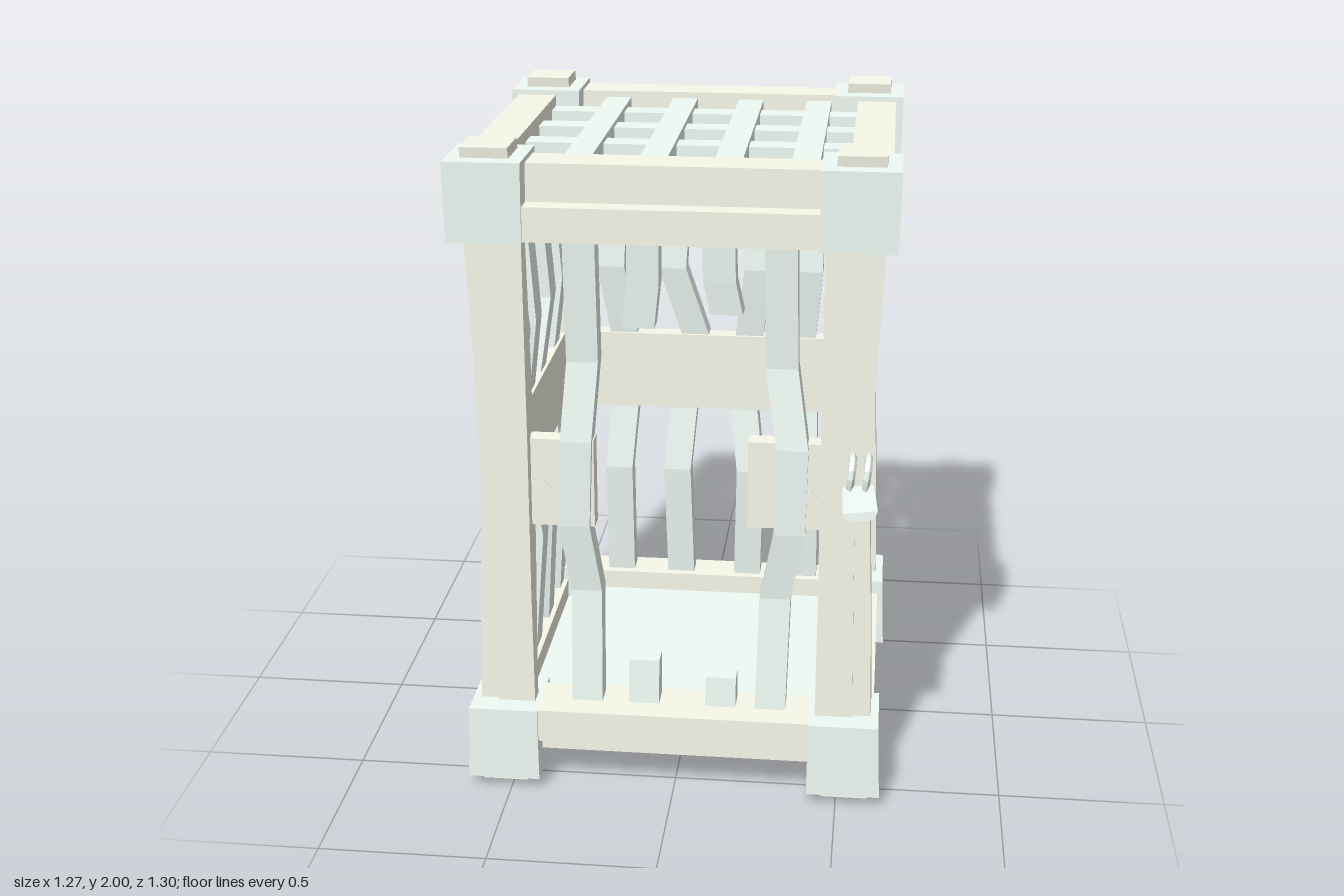
import * as THREE from 'three';

const wood = new THREE.MeshStandardMaterial({ color: 0xf8f8ea, flatShading: true });
const metal = new THREE.MeshStandardMaterial({ color: 0xf0fbf5, flatShading: true });

// Beam swept upward through rectangular sections [x, y, z, width, depth]
function strut(sections, material, name) {
  const pos = [], idx = [];
  for (const [x, y, z, w, d] of sections) {
    for (const [a, b] of [[-1, -1], [1, -1], [1, 1], [-1, 1]]) pos.push(x + a * w / 2, y, z + b * d / 2);
  }
  for (let i = 0; i < sections.length - 1; i++) {
    for (let j = 0; j < 4; j++) {
      const a = i * 4 + j, b = i * 4 + (j + 1) % 4;
      idx.push(a, b + 4, b, a, a + 4, b + 4);
    }
  }
  const t = (sections.length - 1) * 4;
  idx.push(0, 1, 2, 0, 2, 3, t, t + 2, t + 1, t, t + 3, t + 2);
  const indexed = new THREE.BufferGeometry();
  indexed.setAttribute('position', new THREE.Float32BufferAttribute(pos, 3));
  indexed.setIndex(idx);
  const geo = indexed.toNonIndexed();
  geo.computeVertexNormals();
  const mesh = new THREE.Mesh(geo, material);
  mesh.name = name;
  return mesh;
}

// Box given by its limits
function block(x0, x1, y0, y1, z0, z1, material, name) {
  const mesh = new THREE.Mesh(new THREE.BoxGeometry(x1 - x0, y1 - y0, z1 - z0), material);
  mesh.position.set((x0 + x1) / 2, (y0 + y1) / 2, (z0 + z1) / 2);
  mesh.name = name;
  return mesh;
}

// Wall coordinates: u along the wall, v outward from the line of bars
const walls = {
  front: (u, v) => [u, 0.5 + v],
  back: (u, v) => [u, -0.58 - v],
  left: (u, v) => [0.55 + v, u],
  right: (u, v) => [-0.55 - v, u],
};
const alongX = (side) => side === 'front' || side === 'back';

// Sideways position of each bar at the heights below
const heights = [0.2, 0.63, 0.85, 1.12, 1.36, 1.86];
const bulge = [-0.01, -0.045, -0.02, -0.015, -0.045, -0.01];
const bars = {
  front: [
    [-0.27, -0.27, -0.30, -0.29, -0.27, -0.27],
    null, null,
    [0.29, 0.30, 0.34, 0.345, 0.31, 0.30],
  ],
  back: [
    [-0.31, -0.31, -0.29, -0.29, -0.33, -0.31],
    [-0.095, -0.105, -0.085, -0.045, -0.12, -0.09],
    [0.14, 0.15, 0.125, 0.14, 0.17, 0.125],
    [0.34, 0.34, 0.33, 0.32, 0.34, 0.34],
  ],
  left: [
    [0.305, 0.315, 0.315, 0.30, 0.28, 0.305],
    [0.07, 0.06, 0.07, 0.075, 0.09, 0.07],
    [-0.165, -0.095, -0.145, -0.115, -0.20, -0.165],
    [-0.395, -0.43, -0.40, -0.37, -0.31, -0.395],
  ],
  right: [
    [0.305, 0.33, 0.30, 0.30, 0.27, 0.305],
    [0.07, 0.07, 0.07, 0.07, 0.08, 0.07],
    [-0.165, -0.11, -0.15, -0.13, -0.18, -0.165],
    [-0.395, -0.36, -0.38, -0.385, -0.40, -0.395],
  ],
};

function wallBar(side, points, name) {
  const size = alongX(side) ? [0.093, 0.07] : [0.07, 0.098];
  const sections = points.map(([u, y, v]) => {
    const [x, z] = walls[side](u, v);
    return [x, y, z, ...size];
  });
  return strut(sections, metal, name);
}

// Flat band crossing behind the bars of a wall
function band(side, u0, u1, y0, y1) {
  const [xa, za] = walls[side](u0, -0.06), [xb, zb] = walls[side](u1, -0.002);
  return block(Math.min(xa, xb), Math.max(xa, xb), y0, y1, Math.min(za, zb), Math.max(za, zb), wood, side + 'Band');
}

function nail(side, u) {
  const mesh = new THREE.Mesh(new THREE.CylinderGeometry(0.025, 0.025, 0.02, 4), wood);
  const [x, z] = walls[side](u, 0);
  mesh.position.set(x, 0.97, z);
  if (alongX(side)) mesh.rotation.x = Math.PI / 2;
  else mesh.rotation.z = Math.PI / 2;
  mesh.name = side + 'Nail';
  return mesh;
}

function padlock() {
  const lock = new THREE.Group();
  lock.name = 'padlock';
  const body = strut([[0, -0.05, 0, 0.075, 0.03], [0, -0.025, 0, 0.1, 0.04], [0, 0.05, 0, 0.09, 0.035]], metal, 'lockBody');
  body.position.set(0.545, 1.01, 0.622);
  body.rotation.set(-0.3, 0, 0.12);
  lock.add(body);
  // Closed loops from the post down into the lock
  for (const x of [0.515, 0.56]) {
    const path = new THREE.CatmullRomCurve3([[0.53, 1.06], [0.54, 1.12], [0.61, 1.13], [0.63, 1.1], [0.615, 1.04], [0.57, 1.05]]
      .map(([z, y]) => new THREE.Vector3(x + (y - 1.06) * 0.1, y, z)), true, 'catmullrom', 0.2);
    const ring = new THREE.Mesh(new THREE.TubeGeometry(path, 14, 0.012, 5, true), metal);
    ring.name = 'shackle';
    lock.add(ring);
  }
  return lock;
}

export function createModel() {
  const cage = new THREE.Group();
  cage.name = 'cage';

  // Corner posts with metal sockets at both ends
  for (const s of [-1, 1]) {
    for (const z of [0.495, -0.53]) {
      const front = z > 0, zm = front ? 0.475 : -0.56, d = front ? 0.11 : 0.12;
      const pz = front ? 0.49 : -0.54;
      cage.add(strut([
        [s * 0.525, 0, pz, 0.14, 0.14], [s * 0.522, 0.25, zm, 0.155, d], [s * 0.512, 0.65, zm, 0.15, d],
        [s * 0.502, 1.0, zm, 0.14, d], [s * 0.507, 1.35, zm, 0.145, d], [s * 0.518, 1.75, zm, 0.155, d],
        [s * 0.522, 2, pz, 0.135, 0.14],
      ], wood, 'cornerPost'));
      cage.add(strut([[s * 0.522, 0.035, z, 0.222, 0.23], [s * 0.518, 0.27, z, 0.21, 0.225]], metal, 'lowerSocket'));
      cage.add(strut([[s * 0.521, 1.74, z, 0.215, 0.225], [s * 0.521, 1.97, z, 0.22, 0.23]], metal, 'upperSocket'));
    }
    // Side beams
    for (const [y0, y1] of [[0.105, 0.225], [1.84, 1.955]]) {
      cage.add(block(s * 0.547 - 0.06, s * 0.547 + 0.06, y0, y1, -0.45, 0.42, wood, 'sideBeam'));
    }
    // Door stiles
    cage.add(strut([[s * 0.487, 0.25, 0.515, 0.115, 0.055], [s * 0.483, 0.65, 0.515, 0.105, 0.055],
      [s * 0.478, 1.1, 0.515, 0.1, 0.055], [s * 0.5, 1.76, 0.515, 0.145, 0.055]], wood, 'doorStile'));
  }

  // Front and back beams, door rails, floor
  for (const [y0, y1] of [[0.105, 0.225], [1.84, 1.955]]) {
    cage.add(block(-0.45, 0.45, y0, y1, -0.63, -0.505, wood, 'backBeam'));
    cage.add(block(-0.45, 0.45, y0, y1, 0.412, 0.538, wood, 'frontBeam'));
  }
  cage.add(block(-0.42, 0.42, 0.165, 0.27, 0.42, 0.6, wood, 'doorRail'));
  cage.add(block(-0.42, 0.42, 1.745, 1.845, 0.42, 0.6, wood, 'doorRail'));
  cage.add(block(-0.5, 0.5, 0.107, 0.16, -0.52, 0.43, metal, 'floor'));

  // Roof lattice, long bars barely above the crossbars
  for (const x of [-0.293, -0.075, 0.14, 0.36]) cage.add(block(x - 0.04, x + 0.04, 1.85, 1.935, -0.52, 0.43, metal, 'roofBar'));
  for (const z of [-0.378, -0.148, 0.08, 0.305]) cage.add(block(-0.5, 0.5, 1.845, 1.92, z - 0.041, z + 0.041, metal, 'roofCrossbar'));

  // Bent wall bars
  for (const side in bars) {
    for (const row of bars[side]) {
      if (row) cage.add(wallBar(side, row.map((u, i) => [u, heights[i], bulge[i]]), side + 'Bar'));
    }
  }

  // Broken stumps in the door
  cage.add(wallBar('front', [[-0.095, 0.2, -0.01], [-0.095, 0.41, -0.03]], 'lowerStump'));
  cage.add(wallBar('front', [[0.14, 0.2, -0.01], [0.14, 0.365, -0.025]], 'lowerStump'));
  cage.add(wallBar('front', [[-0.105, 1.47, -0.04], [-0.09, 1.6, -0.03], [-0.085, 1.86, -0.01]], 'upperStump'));
  cage.add(wallBar('front', [[0.15, 1.52, -0.035], [0.13, 1.62, -0.025], [0.125, 1.86, -0.01]], 'upperStump'));

  // Middle bands, snapped in the door, with nails
  cage.add(band('front', -0.44, -0.24, 0.845, 1.12), band('front', 0.215, 0.44, 0.865, 1.135));
  cage.add(nail('front', -0.39), nail('front', 0.4));
  cage.add(band('back', -0.46, 0.46, 0.855, 1.12));
  for (const u of [-0.19, 0.03, 0.235]) cage.add(nail('back', u));
  for (const side of ['left', 'right']) {
    cage.add(band(side, -0.51, 0.43, 0.855, 1.12));
    for (const u of [0.175, -0.035, -0.245]) cage.add(nail(side, u));
  }

  cage.add(padlock());
  return cage;
}
